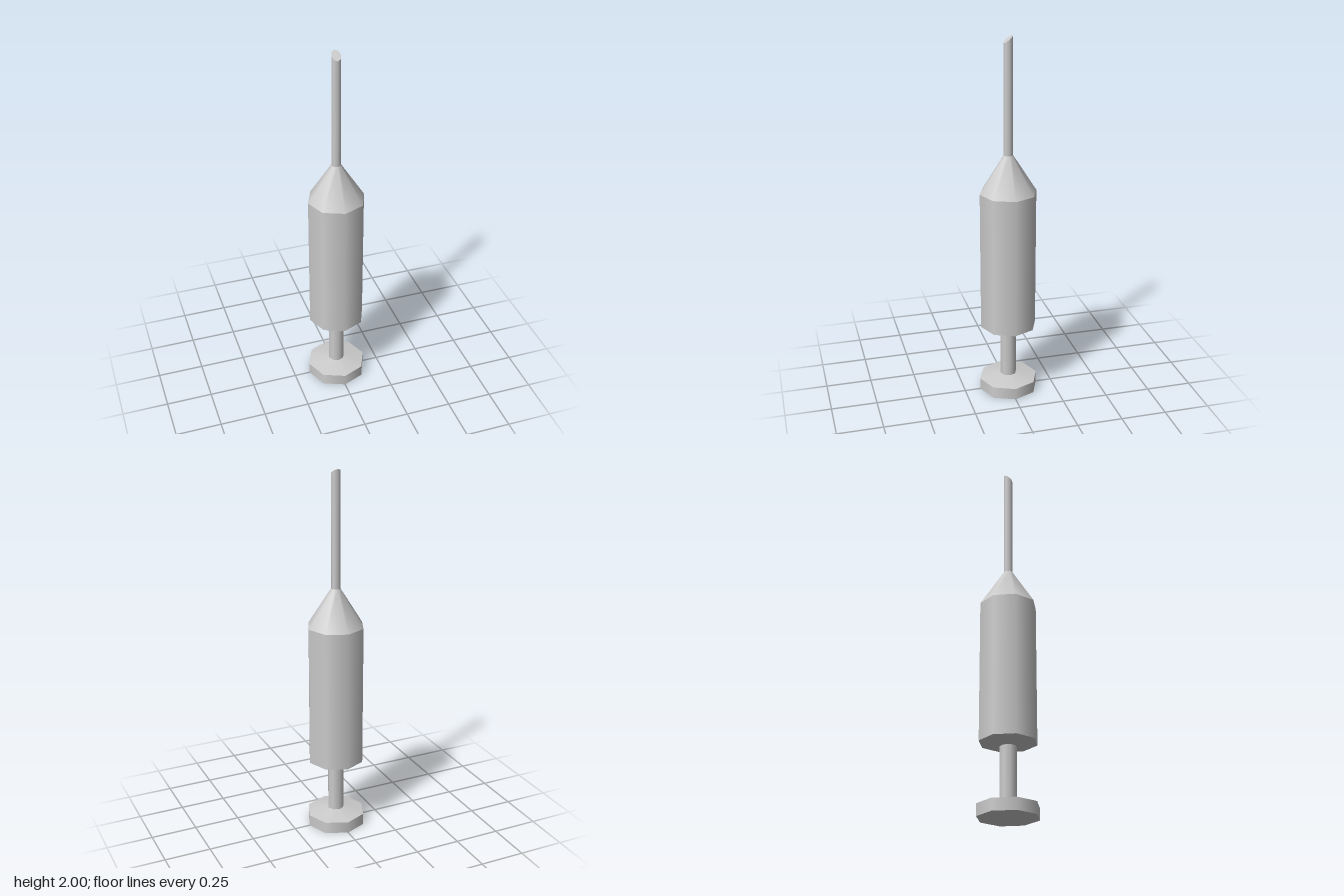
import * as THREE from 'three';

const SIDES = 8;
const material = new THREE.MeshStandardMaterial({ color: 0xcccccc });

// Eight-sided band between two heights, smooth around and sharp at its ends
function band(name, y0, r0, y1, r1, open = true) {
  const geometry = new THREE.CylinderGeometry(r1, r0, y1 - y0, SIDES, 1, open);
  geometry.translate(0, (y0 + y1) / 2, 0);
  const mesh = new THREE.Mesh(geometry, material);
  mesh.name = name;
  return mesh;
}

export function createModel() {
  const model = new THREE.Group();
  model.name = 'syringe';

  // Plunger: thumb disc with a shallow sloped top, and rod
  const plunger = new THREE.Group();
  plunger.name = 'plunger';
  plunger.add(
    band('thumbDisc', 0, 0.163, 0.065, 0.163, false),
    band('thumbDiscSlope', 0.065, 0.163, 0.087, 0.045),
    band('plungerRod', 0.087, 0.045, 0.37, 0.045)
  );

  // Barrel: sloped base, straight wall and cone up to the needle
  const barrel = new THREE.Group();
  barrel.name = 'barrel';
  barrel.add(
    band('barrelBase', 0.37, 0.045, 0.39, 0.155),
    band('barrelWall', 0.39, 0.155, 1.167, 0.155),
    band('barrelCone', 1.167, 0.155, 1.373, 0.025)
  );

  // Needle: the tip is cut at a slant, low at the front
  const needle = band('needle', 1.373, 0.025, 1.98, 0.025, false);
  const position = needle.geometry.attributes.position;
  const normal = needle.geometry.attributes.normal;
  const slope = 0.8;
  const tipNormal = new THREE.Vector3(0, 1, slope).normalize();
  for (let i = 0; i < position.count; i++) {
    if (position.getY(i) < 1.9) continue;
    position.setY(i, 1.98 - slope * position.getZ(i));
    if (normal.getY(i) > 0.9) normal.setXYZ(i, tipNormal.x, tipNormal.y, tipNormal.z);
  }

  model.add(plunger, barrel, needle);
  return model;
}
